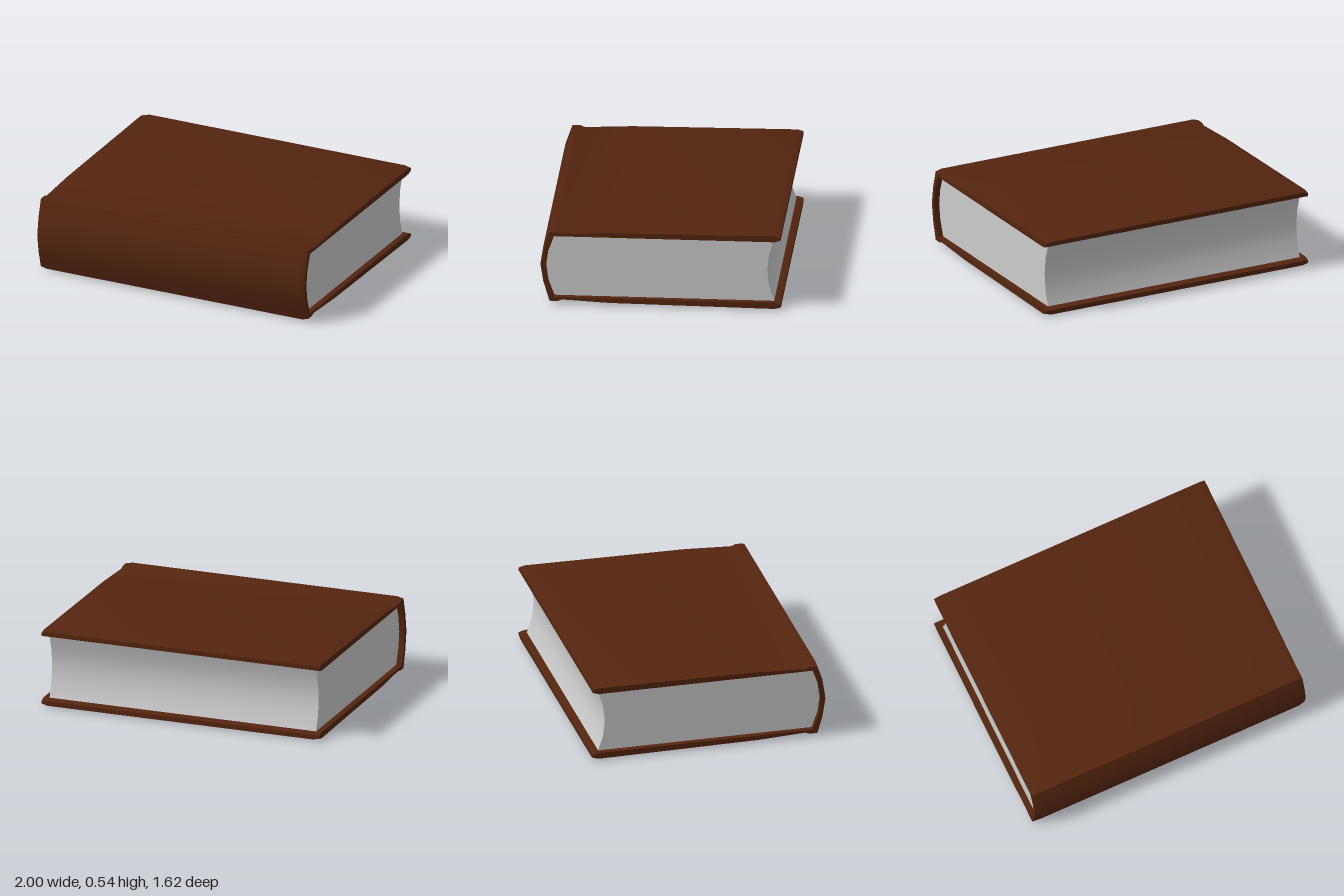
import * as THREE from 'three';
import { toCreasedNormals } from 'three/addons/utils/BufferGeometryUtils.js';

const MID = 0.272; // height of the mirror plane between the two boards

// Mirrors a [z, y] half outline (listed from back to front) below the mid plane.
const mirrored = (half) => half.map(([z, y]) => [z, 2 * MID - y]).reverse();

// Extrudes a [z, y] outline along x between -halfWidth and halfWidth.
function extrudeAlongX(points, halfWidth, steps = 1) {
  const shape = new THREE.Shape(points.map(([z, y]) => new THREE.Vector2(z, y)));
  const geo = new THREE.ExtrudeGeometry(shape, { depth: 2 * halfWidth, steps, bevelEnabled: false });
  geo.translate(0, 0, -halfWidth);
  geo.rotateY(-Math.PI / 2);
  return geo;
}

export function createModel() {
  const leather = new THREE.MeshStandardMaterial({ color: 0x54250f });
  leather.name = 'brown leather';
  const paper = new THREE.MeshStandardMaterial({ color: 0xcccccc });
  paper.name = 'pale paper';

  const book = new THREE.Group();
  book.name = 'book';

  // Cover: two boards and a rounded spine with a hinge groove, as one C-shaped section
  const outer = [[-0.81, 0.533], [-0.77, 0.544], [0.34, 0.534], [0.66, 0.518], [0.69, 0.53], [0.745, 0.53], [0.79, 0.40]];
  const inner = [[-0.81, 0.502], [-0.77, 0.49], [0.715, 0.49], [0.755, 0.38]];
  const section = [
    ...outer, [0.81, MID], ...mirrored(outer),
    ...inner.map(([z, y]) => [z, 2 * MID - y]), [0.77, MID], ...inner.slice().reverse(),
  ];
  const coverGeo = extrudeAlongX(section, 1, 3);

  // Bevel the head and tail edges: outer surface drops slightly at the ends
  const pos = coverGeo.attributes.position;
  for (let i = 0; i < pos.count; i++) {
    const x = pos.getX(i), y = pos.getY(i), z = pos.getZ(i);
    if (Math.abs(x) < 0.5) pos.setX(i, Math.sign(x) * 0.955);
    else if (Math.abs(y - MID) > 0.235) pos.setY(i, y - Math.sign(y - MID) * 0.011);
    else if (z > 0.78) pos.setZ(i, z - 0.01);
  }
  const cover = new THREE.Mesh(toCreasedNormals(coverGeo, 0.6), leather);
  cover.name = 'cover';
  book.add(cover);

  // Page block: rounded back against the spine, hollow fore edge
  const edge = [[-0.73, 0.385], [-0.765, 0.492]];
  const back = [[0.715, 0.492], [0.757, 0.38]];
  const block = [...edge, ...back, [0.772, MID], ...mirrored(back), ...mirrored(edge), [-0.717, MID]];
  const pages = new THREE.Mesh(toCreasedNormals(extrudeAlongX(block, 0.96), 0.6), paper);
  pages.name = 'pages';
  book.add(pages);

  return book;
}
